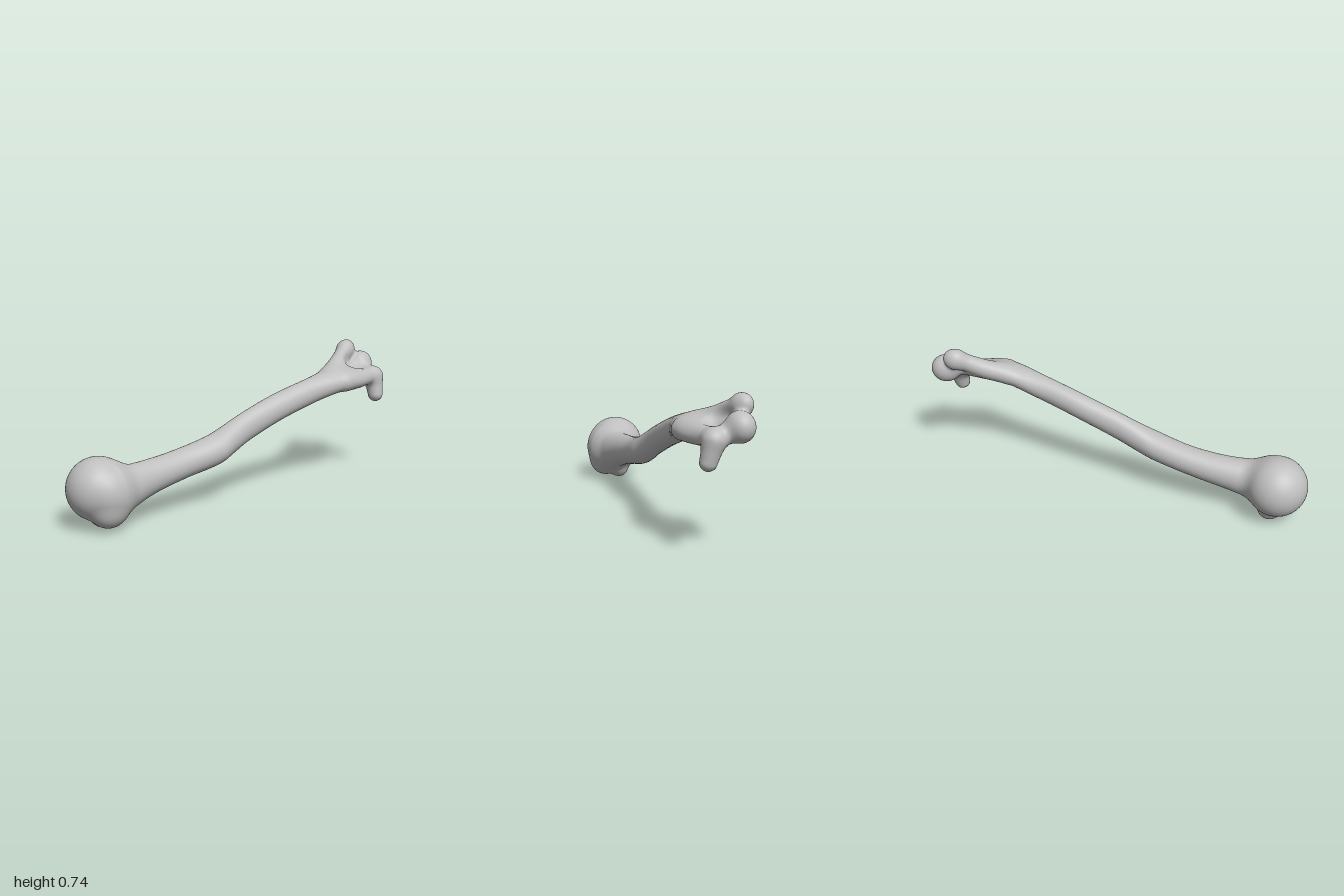
import * as THREE from 'three';

const boneGrey = new THREE.MeshStandardMaterial({ color: 0xbfbfbf });
boneGrey.name = 'bone grey';

// Shaft cross-sections: z, centre x, centre y, half width, half height, tilt
const SECTIONS = [
  [-0.87, 0.215, 0.585, 0.06, 0.025, -0.4],
  [-0.73, 0.232, 0.575, 0.1, 0.047, -0.35],
  [-0.6, 0.228, 0.568, 0.097, 0.06, -0.25],
  [-0.4, 0.163, 0.515, 0.068, 0.069, 0],
  [-0.2, 0.095, 0.453, 0.065, 0.073, 0],
  [0, 0.04, 0.378, 0.06, 0.078, 0],
  [0.1, 0.017, 0.333, 0.068, 0.08, 0],
  [0.2, -0.005, 0.292, 0.083, 0.079, 0],
  [0.4, -0.07, 0.245, 0.08, 0.077, 0],
  [0.6, -0.115, 0.21, 0.085, 0.09, 0],
  [0.8, -0.14, 0.175, 0.1, 0.125, 0],
];

// Distance to the lofted shaft, with eased interpolation between sections
function shaft(x, y, z) {
  const last = SECTIONS.length - 1;
  let i = 0;
  while (i < last - 1 && z > SECTIONS[i + 1][0]) i++;
  const at = (n) => SECTIONS[Math.min(Math.max(n, 0), last)];
  const [p0, p1, p2, p3] = [at(i - 1), at(i), at(i + 1), at(i + 2)];
  const span = p2[0] - p1[0];
  const t = Math.min(Math.max((z - p1[0]) / span, 0), 1);
  const mix = (k) => {
    const m1 = (p2[k] - p0[k]) / (p2[0] - p0[0]) * span;
    const m2 = (p3[k] - p1[k]) / (p3[0] - p1[0]) * span;
    const t2 = t * t, t3 = t2 * t;
    return (2 * t3 - 3 * t2 + 1) * p1[k] + (t3 - 2 * t2 + t) * m1 +
      (3 * t2 - 2 * t3) * p2[k] + (t3 - t2) * m2;
  };
  const a = mix(3), b = mix(4), c = Math.cos(mix(5)), s = Math.sin(mix(5));
  const dx = x - mix(1), dy = y - mix(2);
  const section = (Math.hypot((dx * c + dy * s) / a, (dy * c - dx * s) / b) - 1) * Math.min(a, b);
  return Math.max(section, z - 0.8, -0.87 - z);
}

const ellipsoid = (c, r) => (x, y, z) =>
  (Math.hypot((x - c[0]) / r[0], (y - c[1]) / r[1], (z - c[2]) / r[2]) - 1) * Math.min(...r);

// Rounded limb between two points, tapering from radius ra to rb
function limb(a, b, ra, rb) {
  const d = b.map((v, i) => v - a[i]);
  const len2 = d[0] ** 2 + d[1] ** 2 + d[2] ** 2;
  return (x, y, z) => {
    const px = x - a[0], py = y - a[1], pz = z - a[2];
    const t = Math.min(Math.max((px * d[0] + py * d[1] + pz * d[2]) / len2, 0), 1);
    return Math.hypot(px - d[0] * t, py - d[1] * t, pz - d[2] * t) - (ra + (rb - ra) * t);
  };
}

// Anatomical parts: name, shape, width of the blend into its neighbours
const PARTS = [
  ['shaft', shaft, 0],
  ['head', ellipsoid([-0.2, 0.2, 0.843], [0.157, 0.157, 0.157]), 0.05],
  ['greaterTubercle', ellipsoid([-0.11, 0.18, 0.83], [0.086, 0.12, 0.11]), 0.025],
  ['tubercleBase', ellipsoid([-0.13, 0.1, 0.85], [0.08, 0.08, 0.085]), 0.03],
  ['lesserTubercle', ellipsoid([-0.205, 0.06, 0.815], [0.055, 0.058, 0.062]), 0.025],
  ['medialColumn', limb([0.178, 0.585, -0.6], [0.128, 0.685, -0.84], 0.04, 0.043), 0.04],
  ['medialEpicondyle', ellipsoid([0.124, 0.692, -0.862], [0.045, 0.053, 0.056]), 0.03],
  ['lateralColumn', limb([0.277, 0.555, -0.61], [0.29, 0.555, -0.84], 0.046, 0.046), 0.03],
  ['trochlea', ellipsoid([0.182, 0.604, -0.922], [0.066, 0.074, 0.077]), 0.025],
  ['trochleaBridge', limb([0.2, 0.59, -0.9], [0.29, 0.545, -0.88], 0.042, 0.045), 0.03],
  ['capitulum', limb([0.295, 0.55, -0.885], [0.318, 0.45, -0.873], 0.054, 0.041), 0.025],
];
const fossa = ellipsoid([0.235, 0.655, -0.79], [0.055, 0.065, 0.065]);

const smoothMin = (a, b, k) => {
  const h = Math.max(k - Math.abs(a - b), 0);
  return Math.min(a, b) - (h * h) / (4 * k);
};

// All parts blended together, with the hollow above the elbow joint cut out
function field(x, y, z) {
  let d = shaft(x, y, z);
  for (let i = 1; i < PARTS.length; i++) d = smoothMin(d, PARTS[i][1](x, y, z), PARTS[i][2]);
  return -smoothMin(-d, fossa(x, y, z), 0.02);
}

function gradient(x, y, z) {
  const e = 0.003;
  return new THREE.Vector3(
    field(x + e, y, z) - field(x - e, y, z),
    field(x, y + e, z) - field(x, y - e, z),
    field(x, y, z + e) - field(x, y, z - e)).divideScalar(2 * e);
}

function nearestPart(p) {
  let best = 0, bestD = Infinity;
  PARTS.forEach(([, shape], i) => {
    const d = shape(p.x, p.y, p.z);
    if (d < bestD) { bestD = d; best = i; }
  });
  return best;
}

// Skin the blended shape on a grid: one vertex per cell that the surface crosses
function skin() {
  const h = 0.0125, lo = [-0.4, -0.04, -1.04], n = [64, 66, 167];
  const step = [1, n[0], n[0] * n[1]];
  const values = new Float32Array(n[0] * n[1] * n[2]);
  const each = (from, fn) => {
    for (let k = from; k < n[2] - 1; k++)
      for (let j = from; j < n[1] - 1; j++)
        for (let i = from; i < n[0] - 1; i++) fn(i + j * step[1] + k * step[2], i, j, k);
  };
  values.fill(1);
  each(0, (id, i, j, k) => { values[id] = field(lo[0] + i * h, lo[1] + j * h, lo[2] + k * h); });

  const points = new Map();
  each(0, (id, i, j, k) => {
    const sum = new THREE.Vector3();
    let count = 0;
    for (let c = 0; c < 8; c++) {
      const bits = [c & 1, (c >> 1) & 1, (c >> 2) & 1];
      const a = id + bits[0] + bits[1] * step[1] + bits[2] * step[2];
      for (let ax = 0; ax < 3; ax++) {
        if (bits[ax]) continue;
        const va = values[a], vb = values[a + step[ax]];
        if ((va < 0) === (vb < 0)) continue;
        const q = [...bits];
        q[ax] += va / (va - vb);
        sum.add(new THREE.Vector3(...q));
        count++;
      }
    }
    if (!count) return;
    const p = sum.divideScalar(count).add(new THREE.Vector3(i, j, k)).multiplyScalar(h);
    p.add(new THREE.Vector3(...lo));
    const g = gradient(p.x, p.y, p.z);
    const move = -field(p.x, p.y, p.z) / Math.max(g.lengthSq(), 0.2);
    p.addScaledVector(g, THREE.MathUtils.clamp(move, -h / 2, h / 2));
    points.set(id, { p, normal: gradient(p.x, p.y, p.z).normalize(), part: nearestPart(p) });
  });

  // Join the four cells around every crossed grid edge, sorted by part
  const faces = PARTS.map(() => []);
  each(1, (id) => {
    for (let ax = 0; ax < 3; ax++) {
      const inside = values[id] < 0;
      if (inside === (values[id + step[ax]] < 0)) continue;
      const b = step[(ax + 1) % 3], c = step[(ax + 2) % 3];
      const q = [id - b - c, id - c, id, id - b];
      if (!inside) q.reverse();
      faces[points.get(id).part].push(q[0], q[1], q[2], q[0], q[2], q[3]);
    }
  });
  return { points, faces };
}

export function createModel() {
  const group = new THREE.Group();
  group.name = 'upperArmBone';
  const { points, faces } = skin();
  faces.forEach((ids, i) => {
    if (!ids.length) return;
    const local = new Map(), position = [], normal = [];
    const index = ids.map((id) => {
      if (!local.has(id)) {
        local.set(id, local.size);
        position.push(...points.get(id).p.toArray());
        normal.push(...points.get(id).normal.toArray());
      }
      return local.get(id);
    });
    const geometry = new THREE.BufferGeometry();
    geometry.setAttribute('position', new THREE.Float32BufferAttribute(position, 3));
    geometry.setAttribute('normal', new THREE.Float32BufferAttribute(normal, 3));
    geometry.setIndex(index);
    const mesh = new THREE.Mesh(geometry, boneGrey);
    mesh.name = PARTS[i][0];
    group.add(mesh);
  });
  return group;
}
